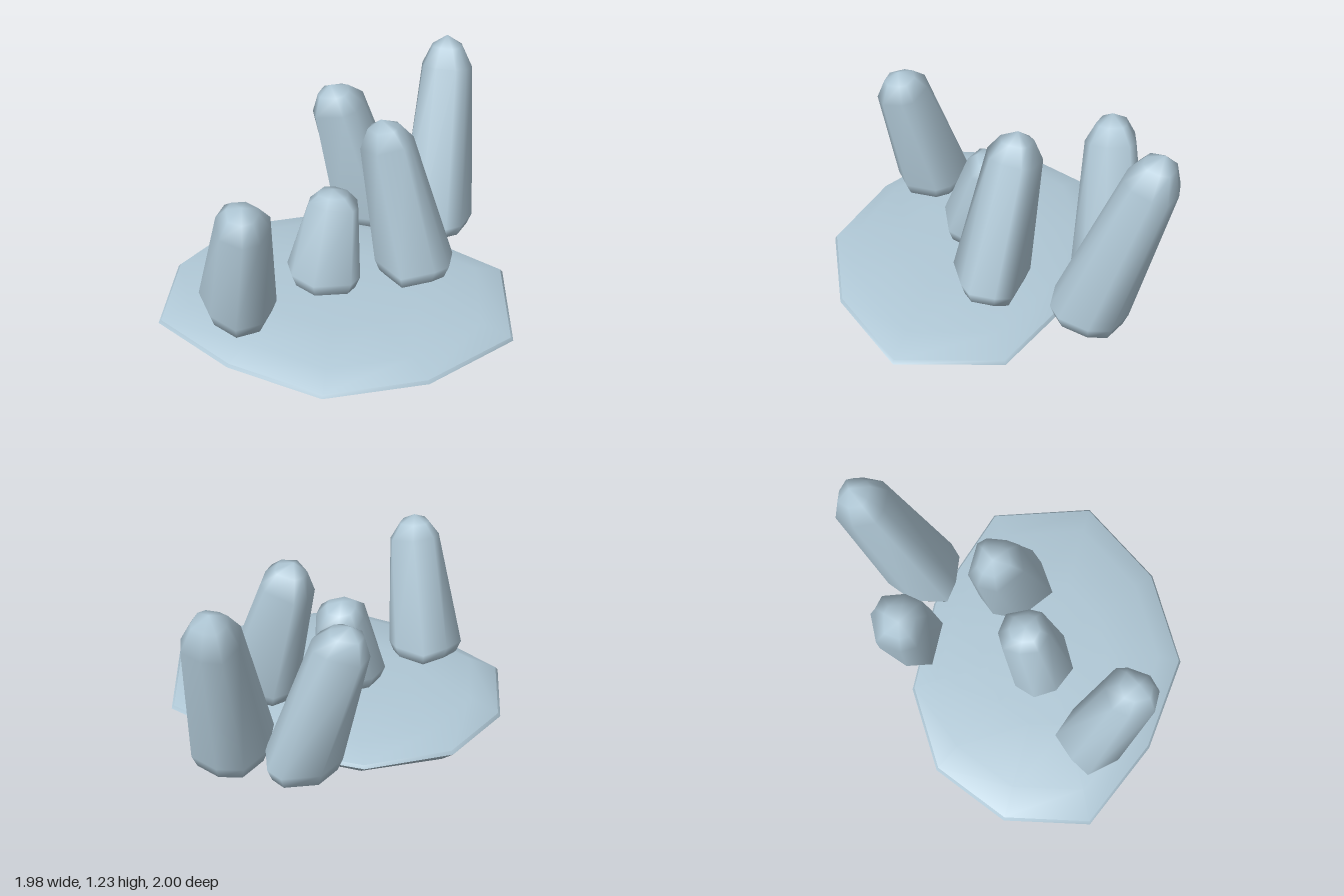
import * as THREE from 'three';

const stoneMat = new THREE.MeshStandardMaterial({ color: 0xb0c8d6 });
stoneMat.name = 'paleBlueStone';

// Skin a stack of rings (lowest first), optionally closed by a point at either end.
function loft(rings, bottom, top) {
  const n = rings[0].length, pos = rings.flat(2), idx = [];
  for (let r = 0; r < rings.length - 1; r++) {
    for (let i = 0; i < n; i++) {
      const j = (i + 1) % n, a = r * n + i, b = r * n + j;
      idx.push(a, a + n, b, b, a + n, b + n);
    }
  }
  const last = (rings.length - 1) * n;
  if (bottom) {
    const c = pos.length / 3;
    pos.push(...bottom);
    for (let i = 0; i < n; i++) idx.push(c, i, (i + 1) % n);
  }
  if (top) {
    const c = pos.length / 3;
    pos.push(...top);
    for (let i = 0; i < n; i++) idx.push(last + i, c, last + (i + 1) % n);
  }
  const g = new THREE.BufferGeometry();
  g.setAttribute('position', new THREE.Float32BufferAttribute(pos, 3));
  g.setIndex(idx);
  g.computeVertexNormals();
  return g;
}

function addMesh(group, name, geometry) {
  const mesh = new THREE.Mesh(geometry, stoneMat);
  mesh.name = name;
  group.add(mesh);
}

// Leaning stone: foot outline [x, z], foot height, top box [x0, x1, z0, z1],
// shoulder height and tip [x, y, z].
function stone({ outline, foot, box, shoulder, tip }) {
  const xs = outline.map(p => p[0]), zs = outline.map(p => p[1]);
  const x0 = Math.min(...xs), x1 = Math.max(...xs), z0 = Math.min(...zs), z1 = Math.max(...zs);
  const bx = (x0 + x1) / 2, bz = (z0 + z1) / 2;
  const tx = (box[0] + box[1]) / 2, tz = (box[2] + box[3]) / 2;
  const h = shoulder - foot - 0.12, lx = (tx - bx) / h, lz = (tz - bz) / h;

  const footShape = outline.map(([x, z]) => [x - bx, z - bz]);
  // The top is a rounded box with its corners in the same directions as the foot's.
  const topShape = footShape.map(([x, z]) => {
    const u = x / (x1 - x0), v = z / (z1 - z0);
    const r = 2 * Math.cbrt(Math.abs(u) ** 3 + Math.abs(v) ** 3);
    return [u / r * (box[1] - box[0]), v / r * (box[3] - box[2])];
  });
  // Rings tilt to stay roughly square to the leaning axis.
  const ring = (shape, cx, cz, k, y, tilt) => shape.map(([x, z]) =>
    [cx + x * k, y - tilt * k * (lx * x + lz * z), cz + z * k]);

  const up = shoulder + (tip[1] - shoulder) * 0.68;
  const mx = tx + (tip[0] - tx) * 0.6, mz = tz + (tip[2] - tz) * 0.6;
  return loft([
    ring(footShape, bx, bz, 0.5, foot + 0.01, 0.3),
    ring(footShape, bx, bz, 0.87, foot + 0.055, 0.3),
    ring(footShape, bx, bz, 1, foot + 0.13, 0.3),
    ring(topShape, tx, tz, 1, shoulder, 1),
    ring(topShape, mx, mz, 0.6, up, 0.6),
  ], [bx, foot, bz], tip);
}

const STONES = {
  frontLeftStone: {
    outline: [[-0.25, 0.54], [-0.25, 0.73], [-0.36, 0.83], [-0.53, 0.78], [-0.66, 0.64], [-0.6, 0.53], [-0.49, 0.41], [-0.31, 0.47]],
    foot: 0.14, box: [-0.46, -0.19, 0.61, 0.89], shoulder: 0.88, tip: [-0.31, 1.0, 0.77],
  },
  centreStone: {
    outline: [[0.11, 0.22], [0.09, 0.31], [-0.09, 0.41], [-0.24, 0.35], [-0.31, 0.24], [-0.27, 0.12], [-0.15, 0.04], [0.04, 0.05]],
    foot: 0.15, box: [-0.21, 0.06, -0.025, 0.25], shoulder: 0.66, tip: [-0.08, 0.75, 0.12],
  },
  middleRightStone: {
    outline: [[0.55, 0], [0.49, 0.07], [0.33, 0.18], [0.13, 0.03], [0.12, -0.12], [0.2, -0.22], [0.49, -0.22], [0.53, -0.14]],
    foot: 0.15, box: [0.01, 0.28, -0.245, 0.05], shoulder: 0.95, tip: [0.11, 1.09, -0.11],
  },
  backLeftStone: {
    outline: [[0.1, -0.61], [0.06, -0.48], [0, -0.39], [-0.25, -0.38], [-0.3, -0.52], [-0.24, -0.7], [-0.06, -0.81], [0.03, -0.77]],
    foot: 0.09, box: [-0.42, -0.13, -0.65, -0.37], shoulder: 0.89, tip: [-0.32, 1.02, -0.49],
  },
  backRightStone: {
    outline: [[0.51, -0.65], [0.49, -0.48], [0.42, -0.41], [0.26, -0.385], [0.13, -0.4], [0.09, -0.6], [0.16, -0.77], [0.3, -0.81], [0.46, -0.76]],
    foot: 0.09, box: [0.11, 0.4, -1.0, -0.73], shoulder: 1.06, tip: [0.24, 1.23, -0.91],
  },
};

// Irregular plate corners: [x, z, rim height, height just inside the rim below].
const PLATE = [[0.985, 0.25, 0.1, 0.085], [0.66, 0.72, 0.1, 0.06], [0.18, 1, 0.095, 0.045], [-0.37, 0.94, 0.09, 0.03],
  [-0.88, 0.72, 0.07, 0.02], [-0.99, 0.25, 0.09, 0.03], [-0.82, -0.19, 0.11, 0.035], [-0.4, -0.46, 0.11, 0.045],
  [0.14, -0.49, 0.11, 0.055], [0.79, -0.3, 0.11, 0.075]];

export function createModel() {
  const group = new THREE.Group();
  group.name = 'standingStones';

  // Shallow domed plate with a thin rim and a gently tilted underside
  const cx = 0, cz = 0.25;
  const ring = (k, height) => PLATE.map(p => [cx + (p[0] - cx) * k, height(p), cz + (p[1] - cz) * k]);
  const edge = ring(0.985, p => p[2] + 0.018);
  addMesh(group, 'plateTop', loft([edge, ring(0.82, () => 0.172), ring(0.45, () => 0.195)], null, [cx, 0.2, cz]));
  addMesh(group, 'plateRim', loft([ring(1, p => p[2]), edge]));
  addMesh(group, 'plateUnderside', loft([ring(0.4, p => p[3] * 0.35), ring(0.92, p => p[3]), ring(1, p => p[2])], [-0.08, 0, cz]));

  // Five leaning stones
  for (const [name, spec] of Object.entries(STONES)) addMesh(group, name, stone(spec));
  return group;
}
